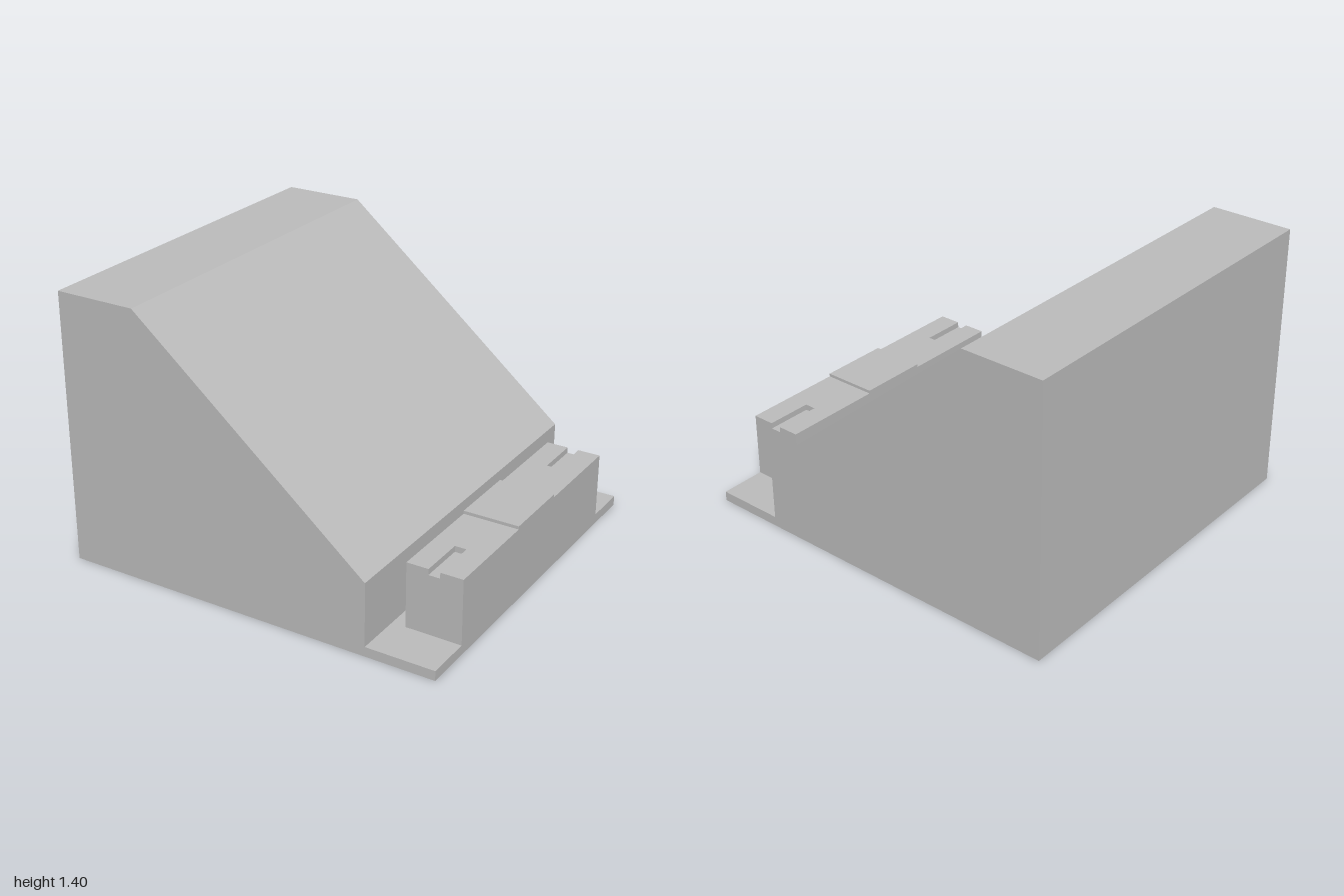
import * as THREE from 'three';

export function createModel() {
  const model = new THREE.Group();
  const grey = new THREE.MeshStandardMaterial({ color: 0xbcbcbc });
  grey.name = 'plain grey';

  const add = (name, geometry) => {
    const mesh = new THREE.Mesh(geometry, grey);
    mesh.name = name;
    model.add(mesh);
    return mesh;
  };
  const extrude = (points, depth) => new THREE.ExtrudeGeometry(
    new THREE.Shape(points.map(([x, y]) => new THREE.Vector2(x, y))),
    { depth, bevelEnabled: false });

  // Sloped housing and thin front ledge share one side profile
  const housing = extrude([
    [-1, 0], [1, 0], [1, 0.05], [0.643, 0.05],
    [0.643, 0.375], [-0.575, 1.397], [-1, 1.397],
  ], 1.9);
  housing.translate(0, 0, -0.95);
  add('housingAndLedge', housing);

  // Terminal block standing on the ledge
  const x0 = 0.713, x1 = 1, halfLength = 0.714;
  const blockBody = new THREE.BoxGeometry(x1 - x0, 0.305, 2 * halfLength);
  add('blockBody', blockBody).position.set((x0 + x1) / 2, 0.2025, 0);

  // Top layer of the block, with an open slot at each end
  const s0 = 0.825, s1 = 0.884, slotEnd = 0.473;
  const top = extrude([
    [x0, -halfLength], [s0, -halfLength], [s0, -slotEnd], [s1, -slotEnd], [s1, -halfLength], [x1, -halfLength],
    [x1, halfLength], [s1, halfLength], [s1, slotEnd], [s0, slotEnd], [s0, halfLength], [x0, halfLength],
  ], 0.03);
  top.rotateX(-Math.PI / 2);
  top.translate(0, 0.355, 0);
  add('slottedBlockTop', top);

  // Raised pad in the middle of the block
  const pad = new THREE.BoxGeometry(x1 - x0, 0.016, 0.37);
  add('raisedPad', pad).position.set((x0 + x1) / 2, 0.393, 0);

  return model;
}
